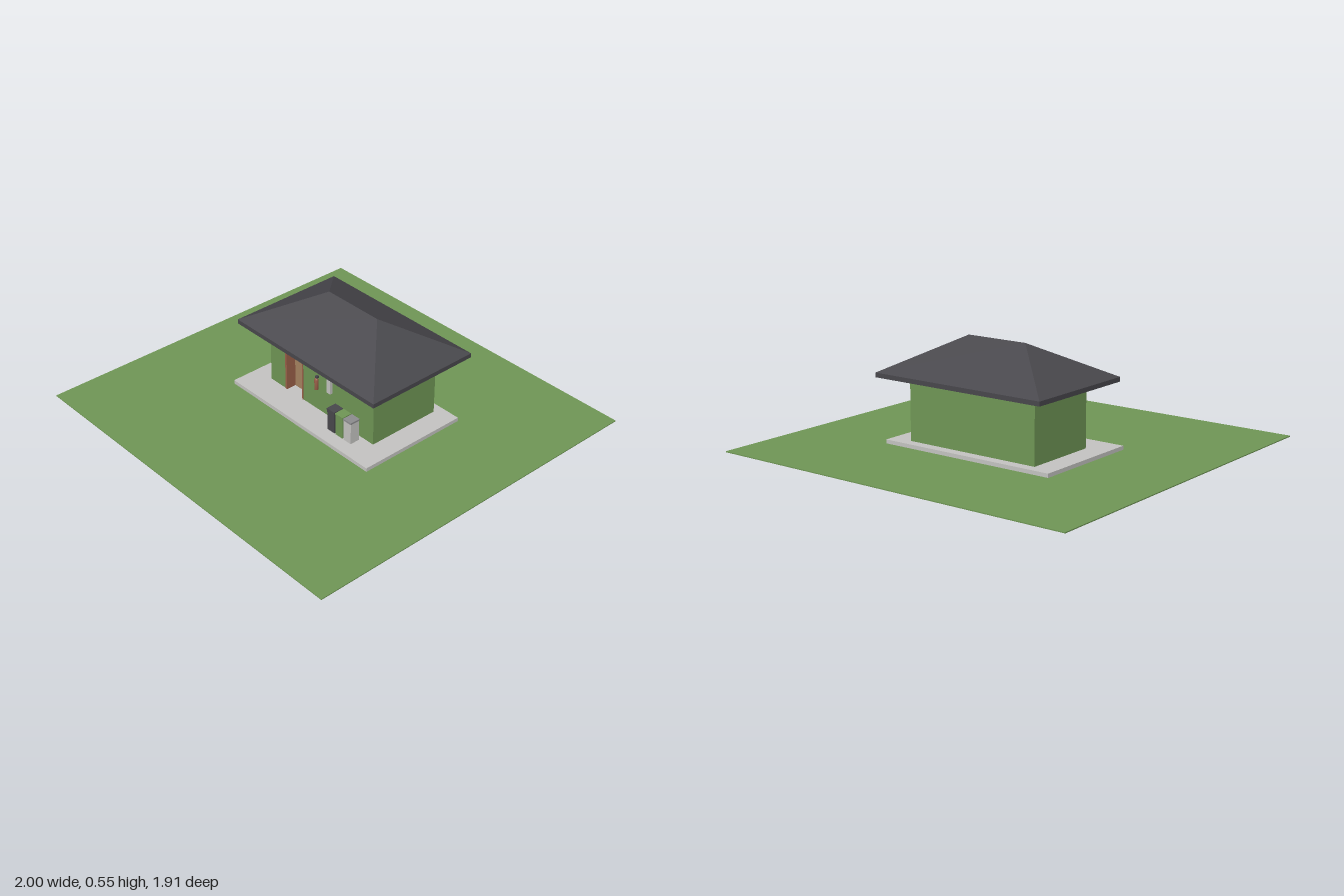
import * as THREE from 'three';

const paint = (name, color) => {
  const m = new THREE.MeshStandardMaterial({ color });
  m.name = name;
  return m;
};

export function createModel() {
  const green = paint('leaf green', 0x6f9655);
  const slate = paint('slate grey', 0x48474c);
  const stone = paint('pale stone', 0xc4c3c1);
  const tan = paint('tan wood', 0xa5825f);
  const red = paint('red brown', 0x9a5f48);
  const grey = paint('mid grey', 0x8c8c8e);

  const model = new THREE.Group();
  model.name = 'house';
  const add = (name, geometry, material, parent = model) => {
    const mesh = new THREE.Mesh(geometry, material);
    mesh.name = name;
    parent.add(mesh);
    return mesh;
  };
  // Box given by its limits on each axis
  const block = (name, material, [x0, x1], [y0, y1], [z0, z1], parent) => {
    const g = new THREE.BoxGeometry(x1 - x0, y1 - y0, z1 - z0);
    g.translate((x0 + x1) / 2, (y0 + y1) / 2, (z0 + z1) / 2);
    return add(name, g, material, parent);
  };

  // Lawn and paved base
  block('lawn', green, [-1, 1], [0, 0.005], [-0.957, 0.957]);
  block('baseSlab', stone, [-0.49, 0.49], [0.005, 0.025], [-0.38, 0.228]);

  // Walls, with a recess for the door in the front one
  block('walls', green, [-0.375, 0.375], [0.025, 0.343], [-0.328, 0.018]);
  const front = new THREE.Shape([
    [-0.375, 0.025], [-0.255, 0.025], [-0.255, 0.297], [-0.13, 0.297],
    [-0.13, 0.025], [0.375, 0.025], [0.375, 0.343], [-0.375, 0.343],
  ].map(([x, y]) => new THREE.Vector2(x, y)));
  const frontWall = new THREE.ExtrudeGeometry(front, { depth: 0.06, bevelEnabled: false });
  frontWall.translate(0, 0, 0.018);
  add('frontWall', frontWall, green);
  block('wallPlate', red, [-0.376, 0.376], [0.343, 0.348], [-0.329, 0.079]);

  // Door, its lining and trim
  const door = new THREE.Group();
  door.name = 'door';
  model.add(door);
  block('doorLeaf', tan, [-0.25, -0.135], [0.025, 0.284], [0.018, 0.026], door);
  block('doorTransom', stone, [-0.25, -0.135], [0.284, 0.295], [0.018, 0.03], door);
  block('leftJamb', red, [-0.262, -0.25], [0.025, 0.303], [0.018, 0.081], door);
  block('rightJamb', red, [-0.135, -0.128], [0.025, 0.303], [0.018, 0.081], door);
  block('doorHead', red, [-0.25, -0.135], [0.295, 0.303], [0.018, 0.081], door);
  block('doorSign', stone, [-0.235, -0.168], [0.303, 0.332], [0.078, 0.084], door);

  // Hipped roof: eaves slab with four sloping faces
  const [rx, zb, zf, ridge, zr, y0, y1] = [0.49, -0.447, 0.19, 0.17, -0.13, 0.37, 0.545];
  block('eaves', slate, [-rx, rx], [0.347, y0], [zb, zf]);
  const a = [-rx, y0, zf], b = [rx, y0, zf], c = [rx, y0, zb], d = [-rx, y0, zb];
  const l = [-ridge, y1, zr], r = [ridge, y1, zr];
  const slopes = [a, b, r, a, r, l, b, c, r, c, d, l, c, l, r, d, a, l];
  const roof = new THREE.BufferGeometry();
  roof.setAttribute('position', new THREE.Float32BufferAttribute(slopes.flat(), 3));
  roof.computeVertexNormals();
  add('hippedRoof', roof, slate);

  // Fittings on the front wall
  block('noticePlate', stone, [-0.04, 0], [0.243, 0.285], [0.078, 0.083]);
  block('wallLamp', stone, [0.06, 0.085], [0.17, 0.255], [0.078, 0.092]);
  const bottle = new THREE.LatheGeometry([
    [0, 0], [0.011, 0], [0.011, 0.055], [0.005, 0.065], [0, 0.065],
  ].map(([x, y]) => new THREE.Vector2(x, y)), 12);
  add('extinguisher', bottle, red).position.set(-0.02, 0.147, 0.087);
  block('extinguisherValve', slate, [-0.025, -0.013], [0.212, 0.224], [0.078, 0.091]);

  // Row of three bins
  [['dark', slate, 0.135], ['green', green, 0.193], ['pale', stone, 0.252]].forEach(([name, material, x]) => {
    const bin = new THREE.Group();
    bin.name = name + 'Bin';
    model.add(bin);
    block('binBody', material, [x, x + 0.05], [0.025, 0.138], [0.102, 0.155], bin);
    block('binLid', name === 'pale' ? grey : material, [x - 0.002, x + 0.052], [0.138, 0.147], [0.1, 0.157], bin);
  });

  return model;
}
